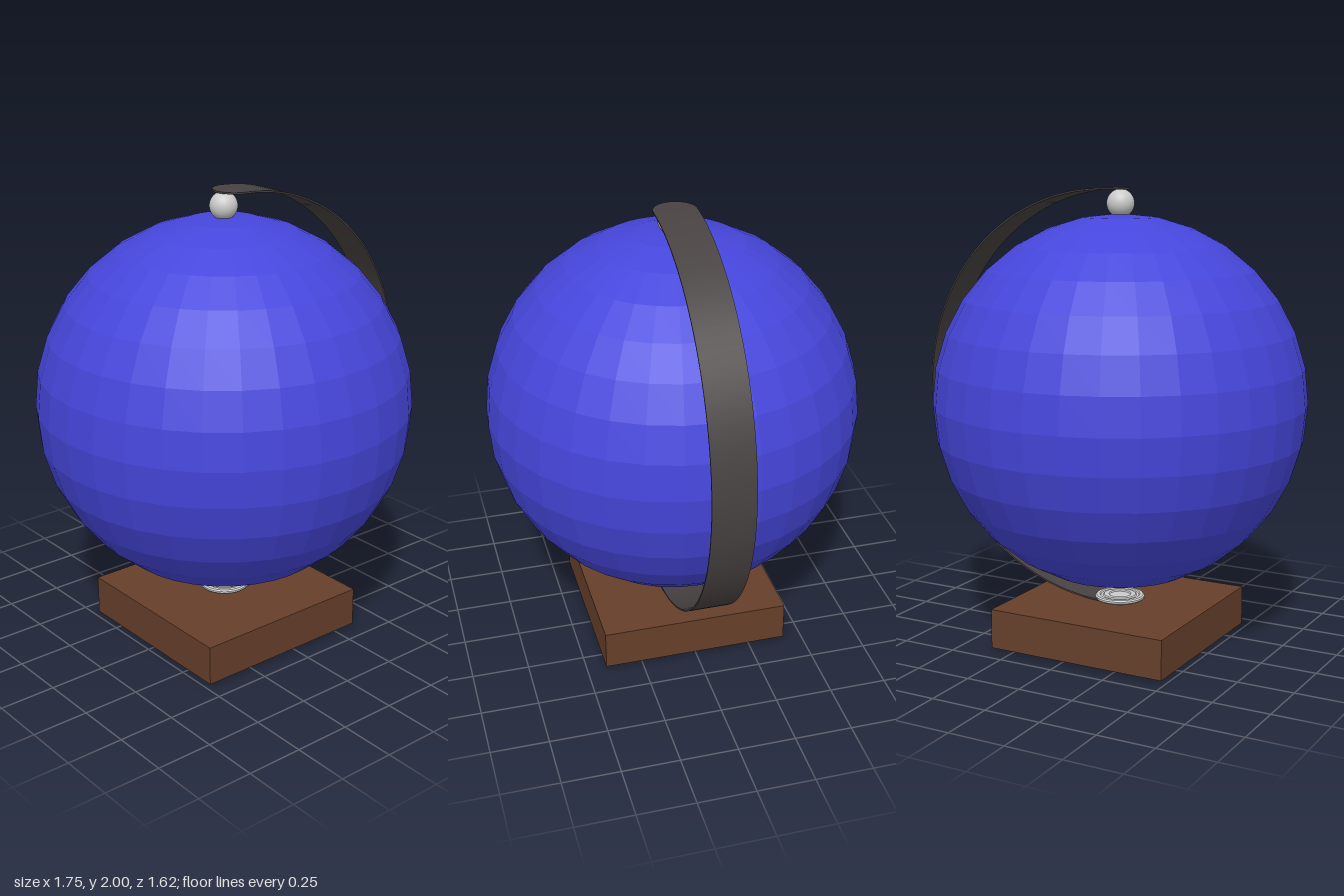
import * as THREE from 'three';
import { toCreasedNormals } from 'three/addons/utils/BufferGeometryUtils.js';

const AXIS_X = -0.065; // vertical axis shared by globe, base and fittings

const material = (color, extra = {}) => new THREE.MeshStandardMaterial({ color, ...extra });

function add(group, name, geometry, mat, x, y) {
  const mesh = new THREE.Mesh(geometry, mat);
  mesh.name = name;
  mesh.position.set(x, y, 0);
  group.add(mesh);
}

// Thin half-circle strap with rounded, straight tips; origin at the arc centre.
function strapGeometry(radius, halfWidth, thickness, tab) {
  const arc = Math.PI * radius;
  const total = arc + 2 * tab;
  const stations = [];
  const tipSteps = 12, arcSteps = 64;
  // close spacing over the rounded tips, even spacing between them
  for (let i = 0; i < tipSteps; i++) stations.push(halfWidth * (1 - Math.cos((i / tipSteps) * Math.PI / 2)));
  for (let i = 0; i <= arcSteps; i++) stations.push(halfWidth + (total - 2 * halfWidth) * i / arcSteps);
  for (let i = tipSteps - 1; i >= 0; i--) stations.push(total - stations[i]);

  const positions = [], index = [];
  for (const s of stations) {
    const along = THREE.MathUtils.clamp(s - tab, 0, arc);
    const angle = Math.PI / 2 - along / radius;
    const nx = Math.cos(angle), ny = Math.sin(angle);
    const straight = Math.min(0, s - tab) + Math.min(0, total - tab - s);
    const d = Math.min(s, total - s, halfWidth) / halfWidth;
    const w = halfWidth * Math.sqrt(Math.max(0, 1 - (1 - d) ** 2));
    for (const [r, z] of [[radius, w], [radius, -w], [radius - thickness, -w], [radius - thickness, w]]) {
      positions.push(nx * r + straight, ny * r, z);
    }
  }
  for (let i = 0; i < stations.length - 1; i++) {
    for (let j = 0; j < 4; j++) {
      const a = 4 * i + j, b = 4 * i + (j + 1) % 4;
      index.push(a, a + 4, b, b, a + 4, b + 4);
    }
  }
  const geometry = new THREE.BufferGeometry();
  geometry.setAttribute('position', new THREE.Float32BufferAttribute(positions, 3));
  geometry.setIndex(index);
  return toCreasedNormals(geometry, 0.6);
}

export function createModel() {
  const model = new THREE.Group();
  model.name = 'deskGlobe';
  const grey = material(0xcccccc);
  const dark = material(0x484242);

  // Faceted globe
  add(model, 'globe', new THREE.SphereGeometry(0.812, 32, 16),
    material(0x4646dc, { flatShading: true }), AXIS_X, 1.08);

  // Top ball
  add(model, 'topBall', new THREE.SphereGeometry(0.06, 32, 20), grey, AXIS_X, 1.935);

  // Curved strap
  add(model, 'strap', strapGeometry(0.906, 0.092, 0.007, 0.065), dark, -0.035, 1.094);

  // Square wooden base and the disc beneath it
  add(model, 'base', new THREE.BoxGeometry(0.83, 0.175, 0.83), material(0x663f2a), AXIS_X, 0.0975);
  add(model, 'baseDisc', new THREE.CylinderGeometry(0.093, 0.093, 0.02, 32), material(0x333333), AXIS_X, 0.01);

  // Ridged bearing on the base
  const profile = [
    [0, 0], [0.1, 0], [0.11, 0.006], [0.11, 0.014], [0.104, 0.02], [0.09, 0.021],
    [0.085, 0.016], [0.075, 0.016], [0.07, 0.021], [0.05, 0.021], [0.045, 0.016], [0, 0.016],
  ].map(([r, y]) => new THREE.Vector2(r, y));
  add(model, 'bearing', toCreasedNormals(new THREE.LatheGeometry(profile, 40), 0.6), grey, AXIS_X, 0.185);

  return model;
}
